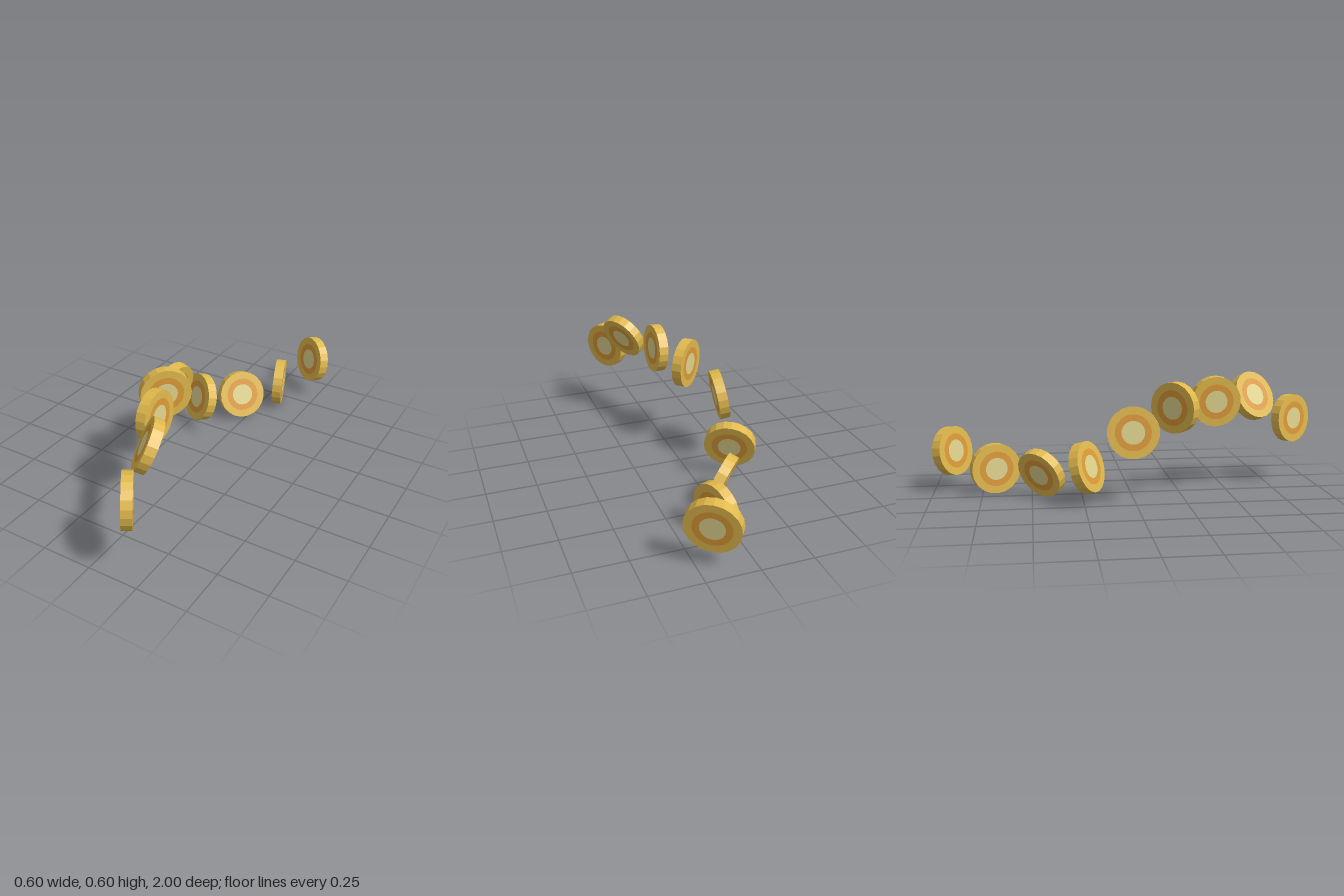
import * as THREE from 'three';

const RADIUS = 0.127, HALF = 0.025, SIDES = 20;

// Centre and axis of each disc, from front to back along the winding chain
const DISCS = [
  { at: [0.14, 0.352, 0.88], axis: [-0.83, 0.05, 0.56] },
  { at: [0.097, 0.48, 0.655], axis: [-0.78, 0.43, 0.45] },
  { at: [-0.018, 0.473, 0.432], axis: [-1, -0.04, 0.04] },
  { at: [-0.11, 0.458, 0.208], axis: [0.72, 0.02, 0.69] },
  { at: [-0.21, 0.355, -0.01], axis: [0.96, -0.2, 0.19] },
  { at: [-0.179, 0.184, -0.234], axis: [-0.5, 0.28, 0.82] },
  { at: [-0.045, 0.132, -0.452], axis: [0.71, 0.37, 0.61] },
  { at: [0.078, 0.134, -0.684], axis: [-0.94, 0.03, 0.33] },
  { at: [0.181, 0.209, -0.904], axis: [-0.57, 0.14, 0.81] },
];

function material(name, color) {
  const m = new THREE.MeshStandardMaterial({ color, flatShading: true });
  m.name = name;
  return m;
}

export function createModel() {
  const gold = material('gold', 0xe0b84c);
  const orange = material('orange', 0xdc9a38);
  const cream = material('cream', 0xe0d48e);

  // Shared geometry, with the disc axis along z
  const rimGeo = new THREE.CylinderGeometry(RADIUS, RADIUS, HALF * 2, SIDES, 1, true).rotateX(Math.PI / 2);
  const bands = [
    ['outerBand', new THREE.RingGeometry(RADIUS * 0.7, RADIUS, SIDES), gold],
    ['middleBand', new THREE.RingGeometry(RADIUS * 0.45, RADIUS * 0.7, SIDES), orange],
    ['core', new THREE.CircleGeometry(RADIUS * 0.45, SIDES), cream],
  ];

  const model = new THREE.Group();
  model.name = 'discChain';
  const zAxis = new THREE.Vector3(0, 0, 1);

  DISCS.forEach(({ at, axis }, i) => {
    const disc = new THREE.Group();
    disc.name = `disc${i + 1}`;

    const rim = new THREE.Mesh(rimGeo, gold);
    rim.name = 'rim';
    disc.add(rim);

    // Concentric bands on both faces
    for (const side of [1, -1]) {
      for (const [name, geo, mat] of bands) {
        const band = new THREE.Mesh(geo, mat);
        band.name = name;
        band.position.z = side * HALF;
        if (side < 0) band.rotation.y = Math.PI;
        disc.add(band);
      }
    }

    disc.position.set(...at);
    disc.quaternion.setFromUnitVectors(zAxis, new THREE.Vector3(...axis).normalize());
    model.add(disc);
  });

  return model;
}
